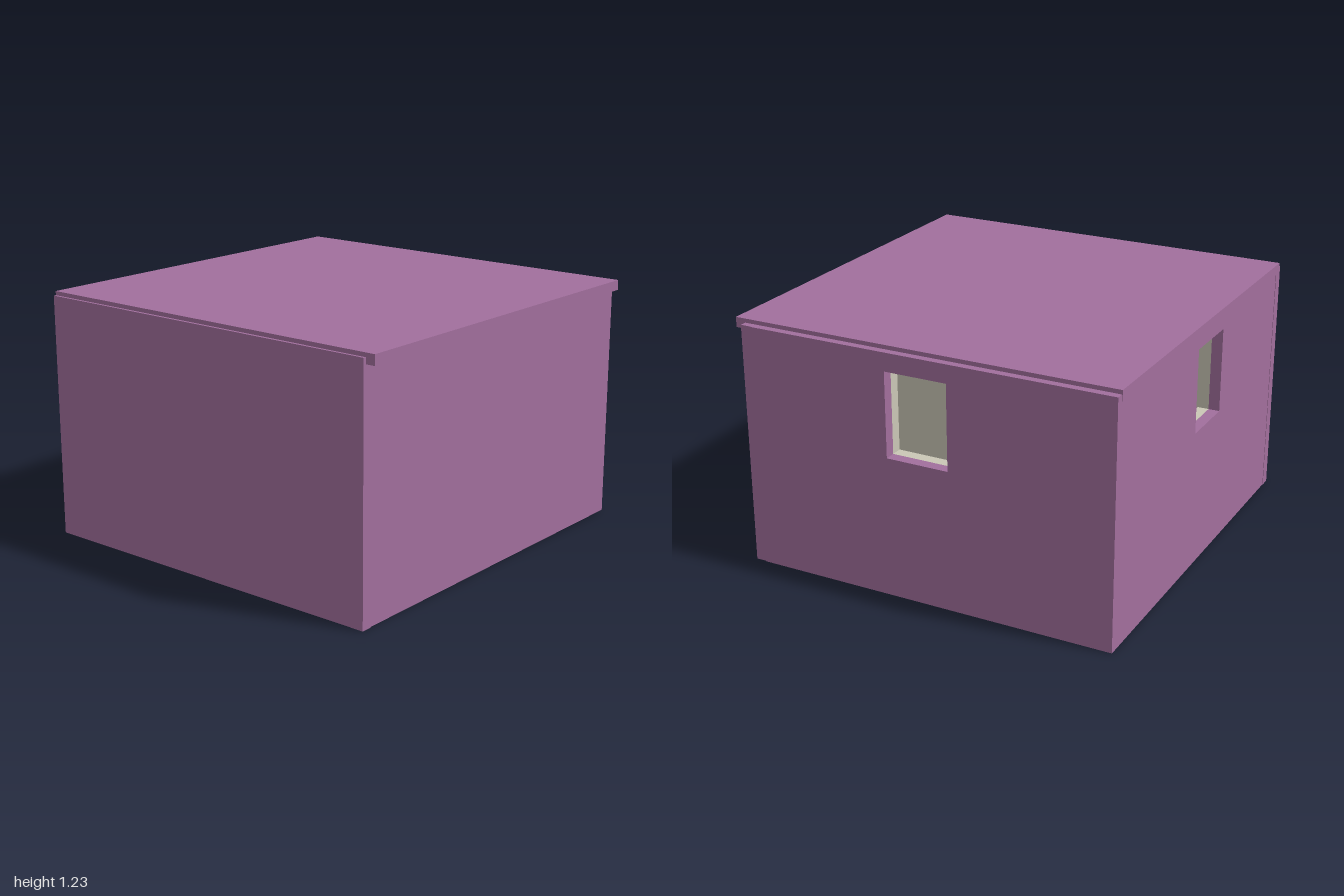
import * as THREE from 'three';

export function createModel() {
  const house = new THREE.Group();
  house.name = 'house';
  const purple = new THREE.MeshStandardMaterial({ color: 0xa26f9d });
  purple.name = 'purple plaster';
  const beige = new THREE.MeshStandardMaterial({ color: 0xcac7b6 });
  beige.name = 'beige lining';

  const add = (name, geometry, material) => {
    const mesh = new THREE.Mesh(geometry, material);
    mesh.name = name;
    house.add(mesh);
    return mesh;
  };

  // Box given by its lower and upper corners
  const slab = (name, material, [x0, y0, z0], [x1, y1, z1]) =>
    add(name, new THREE.BoxGeometry(x1 - x0, y1 - y0, z1 - z0), material)
      .position.set((x0 + x1) / 2, (y0 + y1) / 2, (z0 + z1) / 2);

  // Rectangle from u0 to u1 and y0 to y1, traced on a shape or hole
  const trace = (path, u0, u1, y0, y1) =>
    path.moveTo(u0, y0).lineTo(u1, y0).lineTo(u1, y1).lineTo(u0, y1).closePath();

  // Wall with one window opening; it spans u and y and has thickness t
  const SILL = 0.7, HEAD = 1.12, T = 0.055;
  const windowWall = (u0, u1, y0, y1, w0, w1) => {
    const shape = trace(new THREE.Shape(), u0, u1, y0, y1);
    shape.holes.push(trace(new THREE.Path(), w0, w1, SILL, HEAD));
    return new THREE.ExtrudeGeometry(shape, { depth: T, bevelEnabled: false });
  };
  const backWindow = [-0.16, 0.155], sideWindow = [-0.1, 0.21];

  // Outer walls
  slab('frontWall', purple, [-0.977, 0, 0.945], [0.93, 1.21, 1]);
  slab('leftWall', purple, [0.87, 0, -0.996], [0.926, 1.21, 0.945]);
  add('backWall', windowWall(-0.975, 0.87, 0, 1.21, ...backWindow)
    .translate(0, 0, -1), purple);
  add('rightWall', windowWall(-0.945, 0.945, 0, 1.21, ...sideWindow)
    .rotateY(-Math.PI / 2).translate(-0.975 + T, 0, 0), purple);

  // Inner lining of the walls
  slab('frontLining', beige, [-0.865, 0.03, 0.89], [0.815, 1.18, 0.945]);
  slab('leftLining', beige, [0.815, 0.03, -0.945], [0.87, 1.18, 0.945]);
  add('backLining', windowWall(-0.865, 0.815, 0.03, 1.18, ...backWindow)
    .translate(0, 0, -0.945), beige);
  add('rightLining', windowWall(-0.945, 0.945, 0.03, 1.18, ...sideWindow)
    .rotateY(-Math.PI / 2).translate(-0.865, 0, 0), beige);

  // Partition closing the back window
  slab('partition', beige, [-0.865, 0.03, -0.89], [0.815, 1.18, -0.85]);

  // Floor, ceiling and roof
  slab('base', purple, [-0.92, 0, -0.945], [0.87, 0.03, 0.945]);
  slab('floor', beige, [-0.865, 0.03, -0.85], [0.815, 0.036, 0.89]);
  slab('ceiling', beige, [-0.865, 1.172, -0.85], [0.815, 1.18, 0.89]);
  slab('roof', purple, [-0.978, 1.18, -0.963], [0.977, 1.23, 0.986]);

  return house;
}
